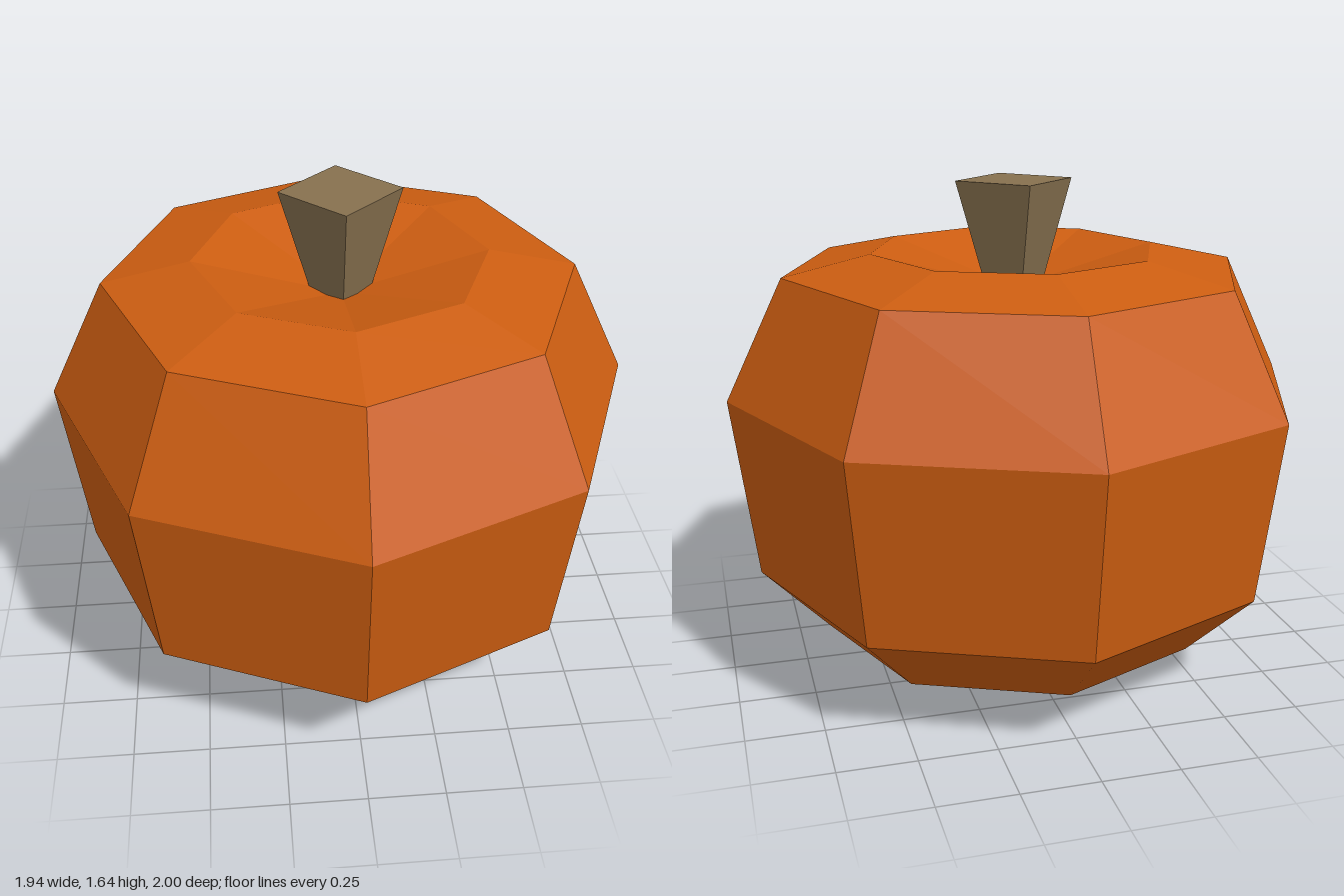
import * as THREE from 'three';

const orange = new THREE.MeshStandardMaterial({ color: 0xcc5d11 });
orange.name = 'pumpkin orange';
const brown = new THREE.MeshStandardMaterial({ color: 0x87714f });
brown.name = 'stem brown';

// Separate the faces so that every facet gets its own flat normal
function faceted(geometry) {
  const flat = geometry.toNonIndexed();
  flat.computeVertexNormals();
  return flat;
}

function part(name, geometry, material) {
  const mesh = new THREE.Mesh(faceted(geometry), material);
  mesh.name = name;
  return mesh;
}

export function createModel() {
  const model = new THREE.Group();
  model.name = 'pumpkin';

  // Eight-sided body: pointed base, bulging sides, sunken top
  const profile = [
    [0, 0], [0.685, 0.115], [0.92, 0.345], [1, 0.955],
    [0.8, 1.353], [0.5, 1.418], [0, 1.285],
  ].map(([r, y]) => new THREE.Vector2(r, y));
  const bodyShape = new THREE.LatheGeometry(profile, 8);
  bodyShape.scale(0.968, 1, 1);
  model.add(part('body', bodyShape, orange));

  // Square stem, widening upwards, rooted in the hollow
  const top = 1.645, bottom = 1.2;
  const stemShape = new THREE.CylinderGeometry(0.198, 0.072, top - bottom, 4);
  stemShape.translate(0, (top + bottom) / 2, 0);
  model.add(part('stem', stemShape, brown));

  return model;
}
